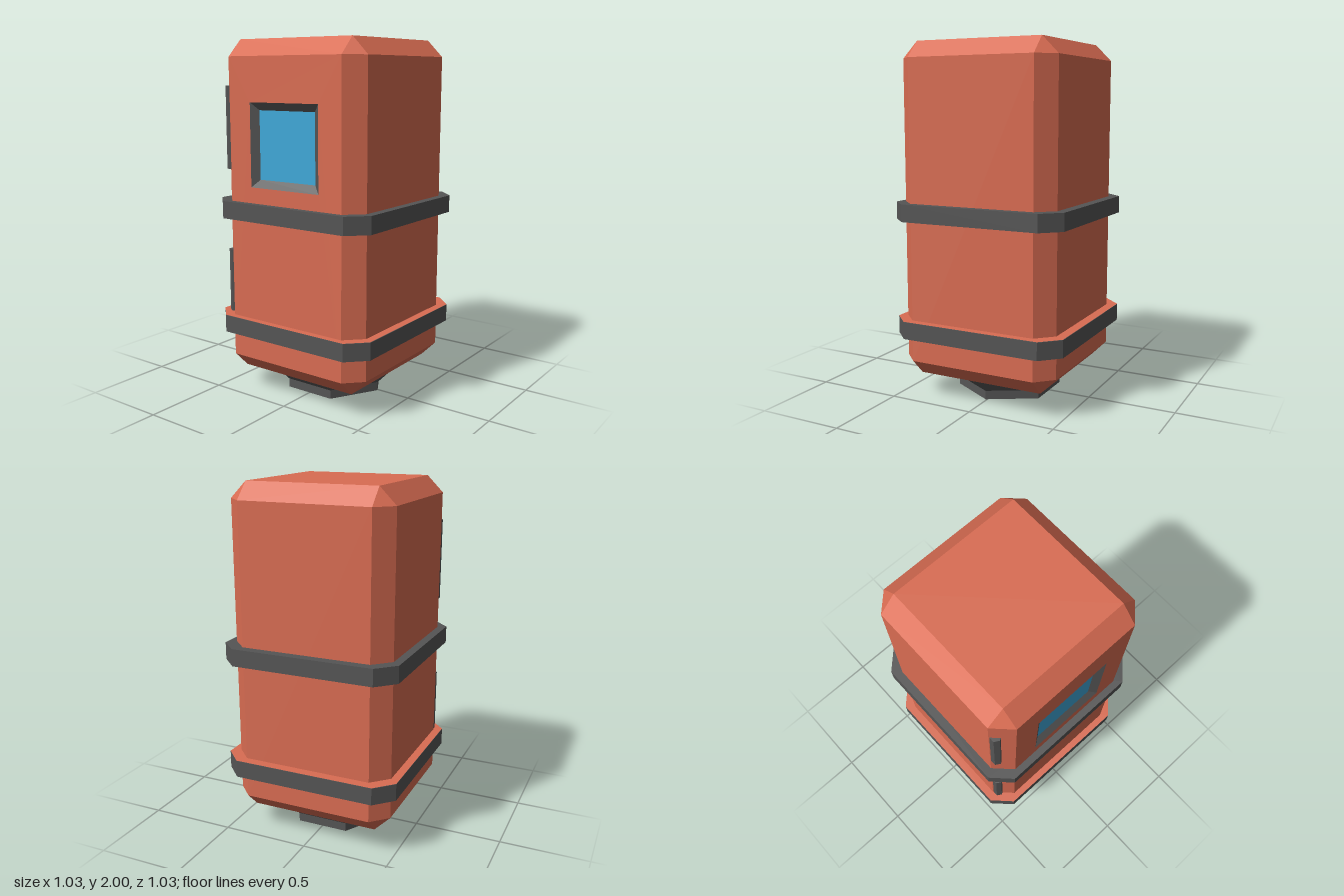
import * as THREE from 'three';
import { ConvexGeometry } from 'three/addons/geometries/ConvexGeometry.js';

const paint = (color, side = THREE.FrontSide) =>
  new THREE.MeshStandardMaterial({ color, side, flatShading: true });
const red = paint(0xd96c52);
const dark = paint(0x555555);
const glass = paint(0x3fa8d8);

const HALF = 0.468, CHAMFER = 0.093, BOTTOM = 0.125, TOP = 2;
const MID = (BOTTOM + TOP) / 2, TALL = (TOP - BOTTOM) / 2;
const WINDOW_Y = 1.434, WINDOW_HALF = 0.23, GLASS_HALF = 0.188, RECESS = 0.03;

function add(parent, name, geometry, material, x = 0, y = 0, z = 0) {
  const mesh = new THREE.Mesh(geometry, material);
  mesh.name = name;
  mesh.position.set(x, y, z);
  parent.add(mesh);
  return mesh;
}

const rectangle = (path, w, h, cy = 0) => path.setFromPoints(
  [[-w, -h], [w, -h], [w, h], [-w, h]].map(([x, y]) => new THREE.Vector2(x, y + cy)));

// Box with all edges chamfered, leaving its -x side open for the window wall
function shellGeometry() {
  const points = [];
  for (const x of [-1, 1]) for (const y of [-1, 1]) for (const z of [-1, 1])
    for (let axis = 0; axis < 3; axis++) {
      const inset = [0, 1, 2].map(i => (i === axis ? 0 : CHAMFER));
      points.push(new THREE.Vector3(
        x * (HALF - inset[0]), y * (TALL - inset[1]), z * (HALF - inset[2])));
    }
  const p = new ConvexGeometry(points).getAttribute('position');
  const kept = [];
  for (let i = 0; i < p.count; i += 3) {
    const onSide = [0, 1, 2].every(k => p.getX(i + k) < -HALF + 1e-4);
    if (!onSide) for (let k = 0; k < 3; k++) kept.push(p.getX(i + k), p.getY(i + k), p.getZ(i + k));
  }
  const geometry = new THREE.BufferGeometry();
  geometry.setAttribute('position', new THREE.Float32BufferAttribute(kept, 3));
  geometry.computeVertexNormals();
  return geometry;
}

// Octagon outline of the straps
function octagon(half, cut) {
  const c = half - cut;
  return new THREE.Shape([[c, -half], [half, -c], [half, c], [c, half],
    [-c, half], [-half, c], [-half, -c], [-c, -half]].map(([x, y]) => new THREE.Vector2(x, y)));
}

export function createModel() {
  const model = new THREE.Group();
  model.name = 'capsule';

  // Body shell and the wall with its window opening
  const body = new THREE.Group();
  body.name = 'body';
  body.position.x = -0.008;
  model.add(body);
  add(body, 'shell', shellGeometry(), red, 0, MID);
  const wall = rectangle(new THREE.Shape(), HALF - CHAMFER, TALL - CHAMFER);
  wall.holes.push(rectangle(new THREE.Path(), WINDOW_HALF, WINDOW_HALF, WINDOW_Y - MID));
  add(body, 'windowWall', new THREE.ShapeGeometry(wall).rotateY(-Math.PI / 2), red, -HALF, MID);

  // Recessed window: sloping frame around a square pane
  const frame = new THREE.CylinderGeometry(
    WINDOW_HALF * Math.SQRT2, GLASS_HALF * Math.SQRT2, RECESS, 4, 1, true)
    .rotateY(Math.PI / 4).rotateZ(Math.PI / 2);
  add(body, 'windowFrame', frame, paint(0x555555, THREE.DoubleSide), -HALF + RECESS / 2, WINDOW_Y);
  add(body, 'windowPane', new THREE.PlaneGeometry(GLASS_HALF * 2, GLASS_HALF * 2)
    .rotateY(-Math.PI / 2), glass, -HALF + RECESS, WINDOW_Y);

  // Two straps; the lower one has a painted top
  const strapShape = octagon(0.514, 0.102);
  for (const [name, y] of [['lowerStrap', 0.355], ['upperStrap', 1.018]]) {
    const strap = new THREE.ExtrudeGeometry(strapShape, { depth: 0.098, bevelEnabled: false });
    add(model, name, strap.rotateX(-Math.PI / 2), dark, 0, y);
  }
  add(model, 'lowerStrapTop', new THREE.ShapeGeometry(strapShape).rotateX(-Math.PI / 2), red, 0, 0.455);

  // Hexagonal hinge rods sunk into the back right corner
  for (const [name, y] of [['lowerHinge', 0.588], ['upperHinge', 1.518]]) {
    const rod = new THREE.CylinderGeometry(0.031, 0.031, 0.465, 6).rotateY(Math.PI / 6);
    add(model, name, rod, dark, -0.4, y, -0.438);
  }

  // Flared hexagonal foot, hollow underneath
  const footProfile = [[0, 0.035], [0.24, 0.035], [0.24, 0], [0.3, 0], [0.3, 0.05], [0.375, 0.126]]
    .map(([r, y]) => new THREE.Vector2(r, y));
  add(body, 'foot', new THREE.LatheGeometry(footProfile, 6), dark);

  return model;
}
